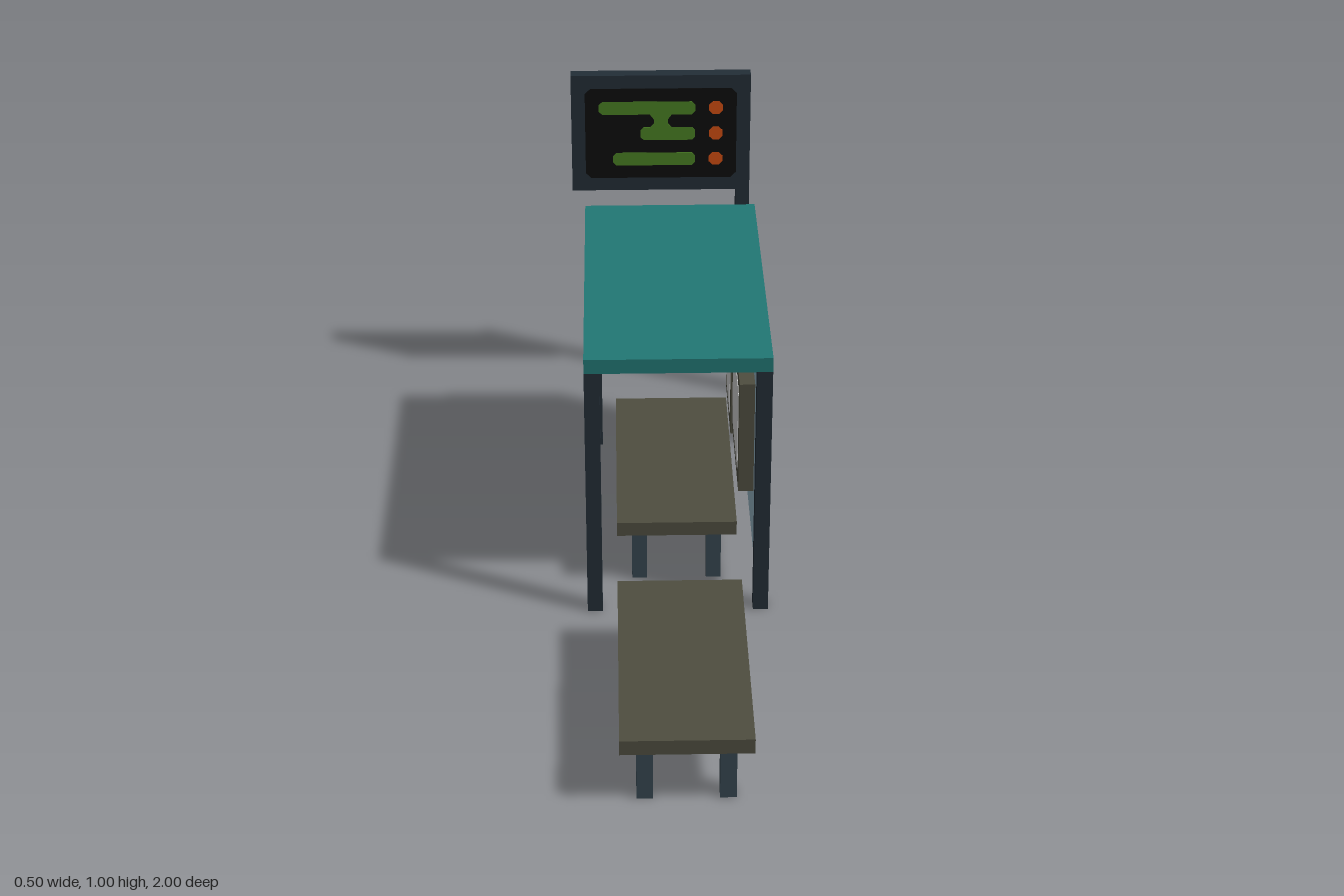
import * as THREE from 'three';

const U = 1 / 26; // one block of the model
const PLATE = 0.04; // plate thickness in blocks

const mat = (name, color, extra = {}) => {
  const m = new THREE.MeshStandardMaterial({ color, ...extra });
  m.name = name;
  return m;
};

export function createModel() {
  const steel = mat('dark steel', 0x232e37);
  const legSteel = mat('leg steel', 0x364650);
  const wood = mat('wood', 0x4f4e40);
  const teal = mat('roof teal', 0x227875);
  const glass = mat('pale glass', 0x9ab9ca);
  const black = mat('screen black', 0x0d0d0d);
  const green = mat('display green', 0x4a8023);
  const orange = mat('display orange', 0xd04e12);
  const paper = mat('poster paper', 0xd8d8d8);

  const model = new THREE.Group();
  model.name = 'busShelter';

  const group = (name) => {
    const g = new THREE.Group();
    g.name = name;
    model.add(g);
    return g;
  };

  // Box from its limits, in blocks
  const box = (parent, name, material, [x0, x1], [y0, y1], [z0, z1]) => {
    const geo = new THREE.BoxGeometry((x1 - x0) * U, (y1 - y0) * U, (z1 - z0) * U);
    const mesh = new THREE.Mesh(geo, material);
    mesh.position.set((x0 + x1) / 2 * U, (y0 + y1) / 2 * U, (z0 + z1) / 2 * U);
    mesh.name = name;
    parent.add(mesh);
    return mesh;
  };

  // Thin plate from an outline, in blocks
  const plate = (parent, name, material, points, z) => {
    const shape = new THREE.Shape(points.map(([x, y]) => new THREE.Vector2(x * U, y * U)));
    const geo = new THREE.ExtrudeGeometry(shape, { depth: PLATE * U, bevelEnabled: false });
    const mesh = new THREE.Mesh(geo, material);
    mesh.position.z = z * U;
    mesh.name = name;
    parent.add(mesh);
    return mesh;
  };

  // Rectangle outline with cut corners
  const cut = (x0, x1, y0, y1, c) => [
    [x0 + c, y0], [x1 - c, y0], [x1, y0 + c], [x1, y1 - c],
    [x1 - c, y1], [x0 + c, y1], [x0, y1 - c], [x0, y0 + c],
  ];

  // Shelter: roof, four posts and side panel
  const shelter = group('shelter');
  box(shelter, 'roof', teal, [-5.5, 6.5], [18, 19], [-18, 5]);
  for (const x of [-5.5, 5.5])
    for (const z of [-18, 4])
      box(shelter, 'shelterPost', steel, [x, x + 1], [0, 18], [z, z + 1]);
  box(shelter, 'sidePanel', glass, [5.5, 6.5], [4, 18], [-17, 4]);

  // Two framed posters on the inner side of the panel
  for (const [y0, y1, z0, z1] of [[6, 17, -15, -8], [8, 16, -6, 3]]) {
    const poster = group('poster');
    box(poster, 'posterFrame', wood, [4.5, 5.5], [y0, y1], [z0, z1]);
    const sheet = plate(poster, 'posterSheet', paper, cut(z0 + 1, z1 - 1, y0 + 1, y1 - 1, 0.25), 0);
    sheet.rotation.y = -Math.PI / 2; // outline x runs along z, facing -x
    sheet.position.x = 4.5 * U;
  }

  // Two matching benches, one in front and one under the roof
  for (const z of [9, -15]) {
    const bench = group('bench');
    box(bench, 'benchSeat', wood, [-3.5, 4.5], [4, 5], [z, z + 17]);
    for (const x of [-2.5, 2.5])
      for (const dz of [1, 15])
        box(bench, 'benchLeg', legSteel, [x, x + 1], [0, 4], [z + dz, z + dz + 1]);
  }

  // Sign board on a single post, with the same display on both sides
  const sign = group('sign');
  box(sign, 'signPost', steel, [5.5, 6.5], [0, 17], [-26, -25]);
  box(sign, 'signBoard', steel, [-6.5, 6.5], [17, 26], [-26, -25]);
  const bars = [[-4.5, 23], [-1.5, 21], [-3.5, 19]];
  for (const side of [1, -1]) {
    const at = (layer) => (side > 0 ? -25 + layer * PLATE : -26 - (layer + 1) * PLATE);
    plate(sign, 'screen', black, cut(-5.5, 5.5, 18, 25, 0.4), at(0));
    for (const [x, y] of bars) {
      plate(sign, 'displayBar', green, cut(x, 2.5, y, y + 1, 0.25), at(1));
      plate(sign, 'displayDot', orange, cut(3.5, 4.5, y, y + 1, 0.28), at(1));
    }
    plate(sign, 'displayLink', green, [
      [-0.8, 22], [0.8, 22], [0.5, 22.3], [0.5, 22.6],
      [0.8, 23], [-0.8, 23], [-0.5, 22.6], [-0.5, 22.3],
    ], at(1));
  }

  return model;
}
